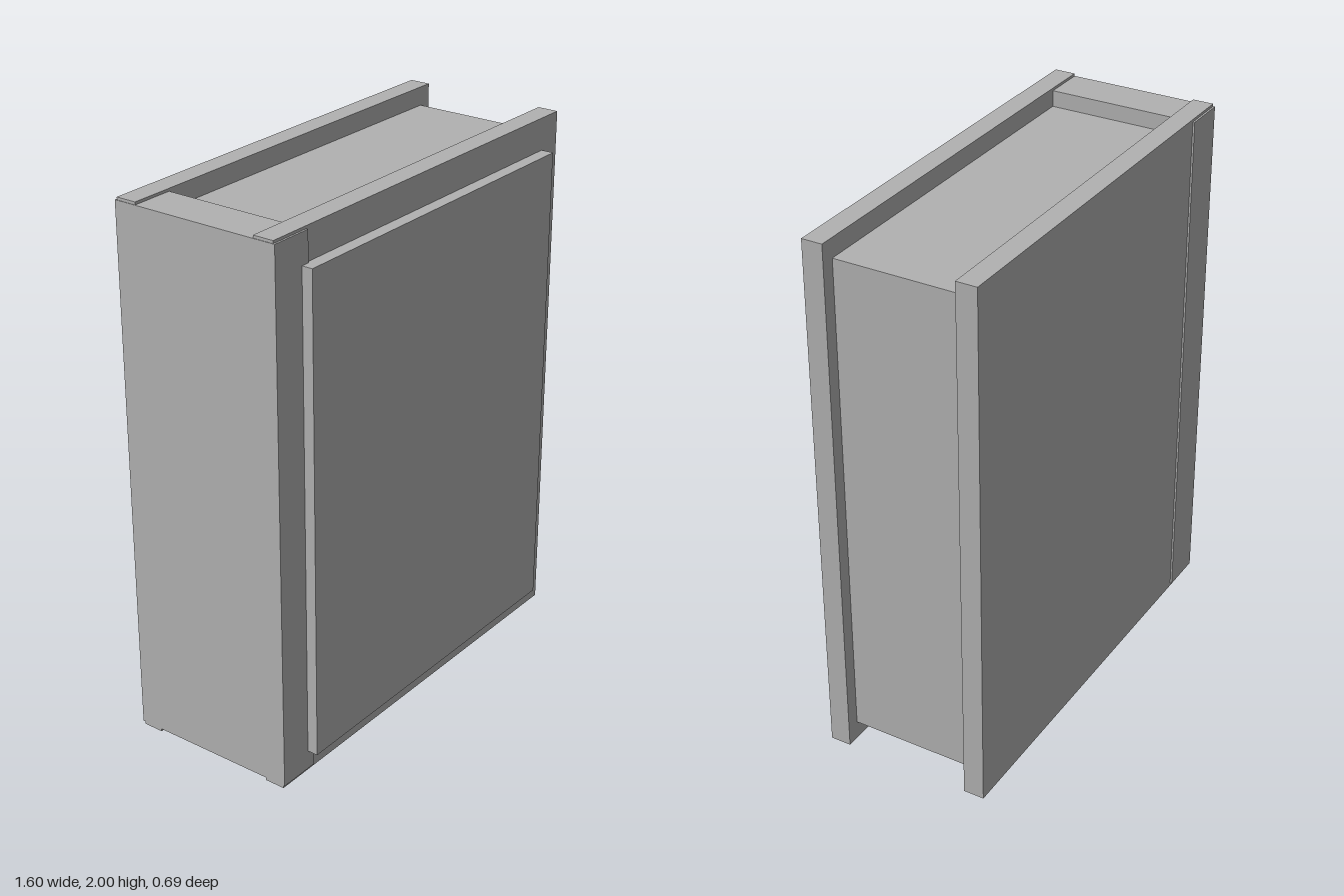
import * as THREE from 'three';

export function createModel() {
  const group = new THREE.Group();
  group.name = 'book';
  const grey = new THREE.MeshStandardMaterial({ color: 0xb2b2b2 });
  grey.name = 'plain grey';

  // Box given by its lower and upper corners
  function block(name, [x0, y0, z0], [x1, y1, z1]) {
    const geometry = new THREE.BoxGeometry(x1 - x0, y1 - y0, z1 - z0);
    const mesh = new THREE.Mesh(geometry, grey);
    mesh.name = name;
    mesh.position.set((x0 + x1) / 2, (y0 + y1) / 2, (z0 + z1) / 2);
    group.add(mesh);
  }

  // Two hard covers
  block('frontCover', [-0.8, 0, 0.22], [0.8, 2, 0.298]);
  block('backCover', [-0.8, 0, -0.338], [0.8, 2, -0.26]);

  // Spine wraps just outside the covers, slightly shorter than them
  block('spine', [-0.802, 0.012, -0.345], [-0.64, 1.99, 0.305]);

  // Page block, set back from the cover edges
  block('pages', [-0.65, 0.07, -0.27], [0.75, 1.93, 0.23]);

  // Raised panel on the front cover
  block('frontPanel', [-0.672, 0.084, 0.29], [0.706, 1.88, 0.345]);

  return group;
}
